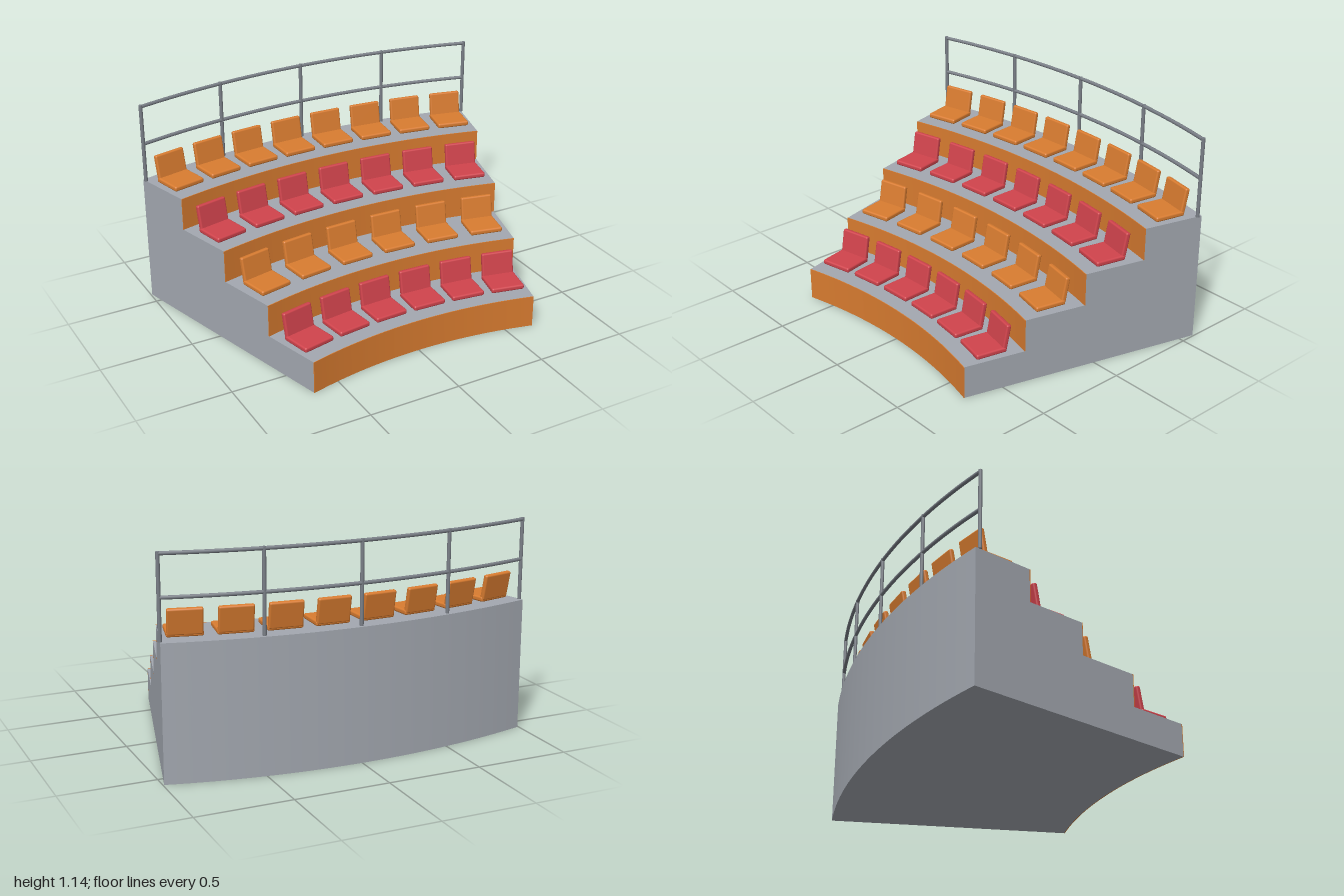
import * as THREE from 'three';
import { toCreasedNormals } from 'three/addons/utils/BufferGeometryUtils.js';
import { RoundedBoxGeometry } from 'three/addons/geometries/RoundedBoxGeometry.js';

const CENTRE_Z = 3.13;               // common centre of all arcs, in front of the stand
const HALF = THREE.MathUtils.degToRad(15);
const R0 = 2.51, DEPTH = 0.3325, RISE = 0.176;

const material = (name, color) => {
  const m = new THREE.MeshStandardMaterial({ color });
  m.name = name;
  return m;
};

// Ring sector between two radii, standing from y0 to y1
function sector(r1, r2, y0, y1) {
  const shape = new THREE.Shape();
  const a = Math.PI / 2 - HALF, b = Math.PI / 2 + HALF;
  shape.absarc(0, -CENTRE_Z, r2, a, b, false);
  shape.absarc(0, -CENTRE_Z, r1, b, a, true);
  shape.closePath();
  const g = new THREE.ExtrudeGeometry(shape, { depth: y1 - y0, bevelEnabled: false, curveSegments: 32 });
  g.rotateX(-Math.PI / 2).translate(0, y0, 0);
  return toCreasedNormals(g, 0.5);
}

// Point on an arc around the common centre
const arcPoint = (r, angle, y) =>
  new THREE.Vector3(r * Math.sin(angle), y, CENTRE_Z - r * Math.cos(angle));

export function createModel() {
  const group = new THREE.Group();
  const concrete = material('concrete grey', 0xa3a8b0);
  const orange = material('orange', 0xd97c30);
  const red = material('red', 0xd0434c);
  const steel = material('rail grey', 0x7a7f87);

  const add = (parent, name, geometry, mat) => {
    const mesh = new THREE.Mesh(geometry, mat);
    mesh.name = name;
    parent.add(mesh);
    return mesh;
  };

  // Shared seat shapes
  const panGeo = new RoundedBoxGeometry(0.182, 0.028, 0.168, 2, 0.01);
  const backGeo = new RoundedBoxGeometry(0.176, 0.138, 0.026, 2, 0.009);

  const seat = (mat) => {
    const s = new THREE.Group();
    s.name = 'seat';
    add(s, 'seatPan', panGeo, mat).position.set(0, 0.016, -0.166);
    const back = add(s, 'seatBack', backGeo, mat);
    back.position.set(0, 0.08, -0.252);
    back.rotation.x = -0.19;
    return s;
  };

  // Terraces: concrete block, coloured riser and a row of seats
  [6, 6, 7, 8].forEach((count, i) => {
    const r = R0 + i * DEPTH, top = (i + 1) * RISE;
    const row = new THREE.Group();
    row.name = 'terrace' + (i + 1);
    add(row, 'step', sector(r + 0.004, r + DEPTH, 0, top), concrete);
    add(row, 'riser', sector(r, r + 0.004, i * RISE, top), orange);
    if (i > 0) add(row, 'riserBase', sector(r, r + 0.004, 0, i * RISE), concrete);
    for (let k = 0; k < count; k++) {
      const angle = HALF * (2 * (k + 0.5) / count - 1);
      const s = seat(i % 2 ? orange : red);
      s.position.copy(arcPoint(r, angle, top));
      s.rotation.y = -angle;
      row.add(s);
    }
    group.add(row);
  });

  // Guard rail along the back edge
  const railR = 3.815, floor = 4 * RISE, railTop = 1.127;
  const rail = new THREE.Group();
  rail.name = 'guardRail';
  for (const y of [railTop, 0.917]) {
    const pts = [];
    for (let k = 0; k <= 16; k++) pts.push(arcPoint(railR, HALF * (k / 8 - 1), y));
    const curve = new THREE.CatmullRomCurve3(pts);
    add(rail, 'railBar', new THREE.TubeGeometry(curve, 32, 0.01, 8), steel);
  }
  const postGeo = new THREE.CylinderGeometry(0.01, 0.01, railTop + 0.009 - floor, 10);
  for (let k = -2; k <= 2; k++) {
    add(rail, 'railPost', postGeo, steel)
      .position.copy(arcPoint(railR, HALF * k / 2, (floor + railTop + 0.009) / 2));
  }
  group.add(rail);
  return group;
}
